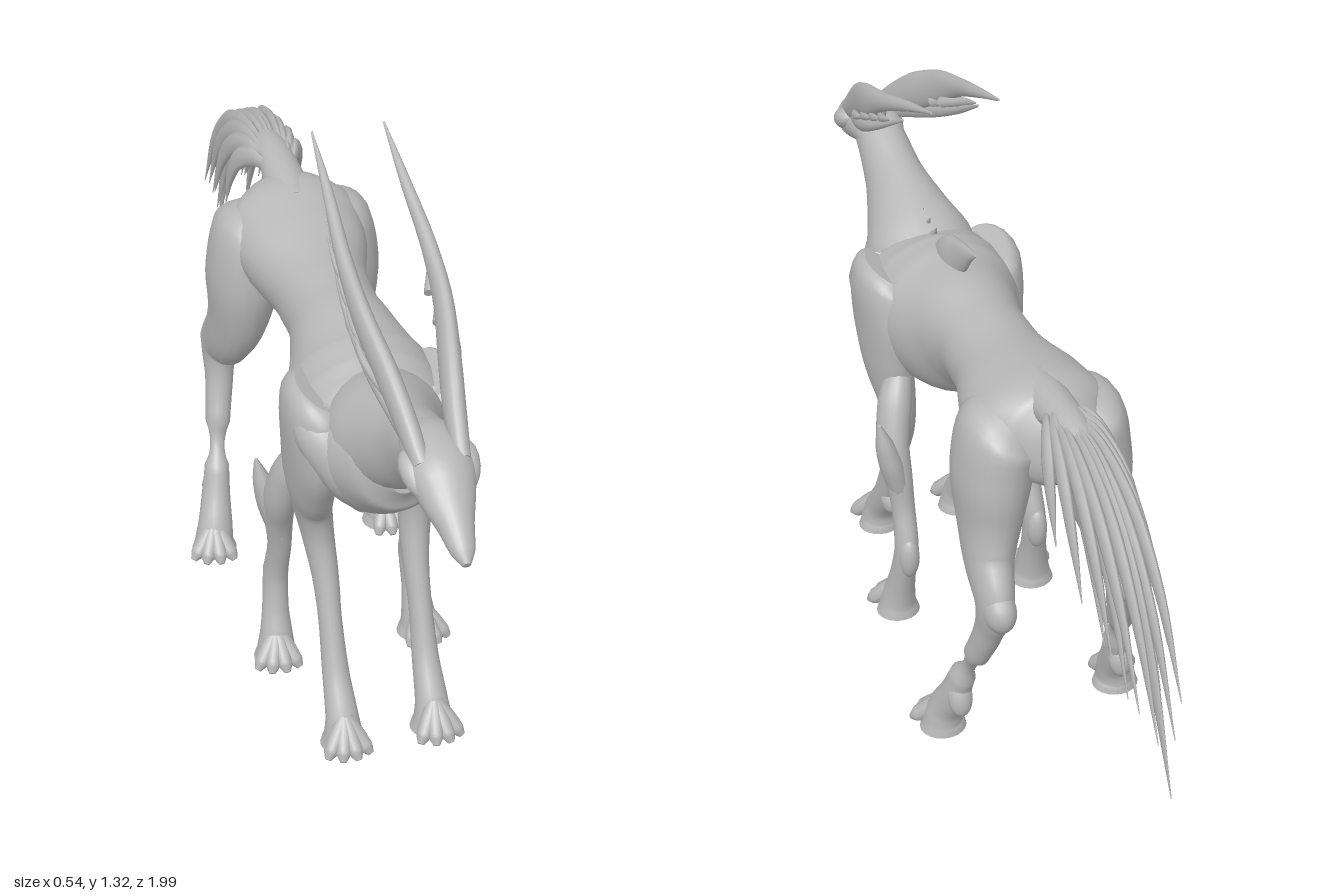
import * as THREE from 'three';

const hide = new THREE.MeshStandardMaterial({ color: 0xb8b8b8 });
hide.name = 'grey hide';

// Smooth tube through sections [x, y, z, halfWidth, halfDepth]; s = -1 mirrors it in x.
// egg > 0 makes each section wider on its upper side.
function loft(name, sections, s = 1, sides = 20, egg = 0) {
  const path = new THREE.CatmullRomCurve3(sections.map(p => new THREE.Vector3(p[0] * s, p[1], p[2])));
  const size = new THREE.CatmullRomCurve3(sections.map(p => new THREE.Vector3(p[3], p[4], 0)));
  const steps = (sections.length - 1) * 5;
  const pos = [], idx = [];
  for (let i = 0; i <= steps; i++) {
    const c = path.getPoint(i / steps), r = size.getPoint(i / steps);
    const t = path.getTangent(i / steps);
    const u = new THREE.Vector3(1, 0, 0).addScaledVector(t, -t.x).normalize();
    const v = t.clone().cross(u);
    for (let j = 0; j < sides; j++) {
      const a = j / sides * Math.PI * 2;
      const p = c.clone().addScaledVector(u, Math.max(r.x, 0.001) * Math.cos(a) * (1 + egg * Math.sin(a)))
        .addScaledVector(v, Math.max(r.y, 0.001) * Math.sin(a));
      pos.push(p.x, Math.max(p.y, 0), p.z);
    }
    if (i === 0) continue;
    for (let j = 0; j < sides; j++) {
      const a = (i - 1) * sides + j, b = (i - 1) * sides + (j + 1) % sides;
      idx.push(a, b, a + sides, b, b + sides, a + sides);
    }
  }
  // End caps with their own corners
  for (const end of [0, steps]) {
    const base = pos.length / 3, from = end * sides * 3;
    pos.push(...pos.slice(from, from + sides * 3));
    for (let j = 1; j < sides - 1; j++) {
      if (end) idx.push(base, base + j, base + j + 1);
      else idx.push(base, base + j + 1, base + j);
    }
  }
  const g = new THREE.BufferGeometry();
  g.setAttribute('position', new THREE.Float32BufferAttribute(pos, 3));
  g.setIndex(idx);
  g.computeVertexNormals();
  const m = new THREE.Mesh(g, hide);
  m.name = name;
  return m;
}

function lump(name, x, y, z, rx, ry, rz, tilt = 0, yaw = 0) {
  const m = new THREE.Mesh(new THREE.SphereGeometry(1, 16, 12), hide);
  m.name = name;
  m.position.set(x, y, z);
  m.scale.set(rx, ry, rz);
  m.rotation.set(tilt, yaw, 0, 'YXZ');
  return m;
}

// Four long toes fanning down from the ankle
function toes(group, x, z, s, yaw) {
  for (let k = 0; k < 4; k++) {
    const a = (k - 1.5) * 0.48 + yaw;
    const at = (d, y, w, h) => [x + Math.sin(a) * d, y, z + Math.cos(a) * d, w, h];
    group.add(loft('toe', [at(.005, .075, .014, .016), at(.035, .04, .018, .02),
      at(.058, .018, .016, .018), at(.072, .006, .007, .006)], s, 10));
  }
}

const frontLeg = [
  [.11, .825, .35, .055, .085], [.122, .80, .35, .068, .11], [.13, .70, .345, .058, .122],
  [.127, .60, .325, .052, .098], [.117, .51, .305, .042, .068], [.107, .43, .315, .034, .05],
  [.10, .34, .352, .028, .035], [.10, .25, .39, .025, .03], [.10, .14, .435, .029, .033],
  [.10, .06, .485, .036, .036], [.10, .025, .495, .042, .042], [.10, 0, .495, .05, .046]];
const middleLeg = [
  [.125, .60, .26, .03, .035], [.145, .54, .232, .038, .042], [.16, .46, .205, .036, .043],
  [.157, .38, .18, .031, .035], [.152, .30, .165, .026, .029], [.155, .20, .14, .027, .034],
  [.16, .12, .155, .029, .032], [.163, .06, .172, .036, .038], [.165, .025, .178, .042, .042], [.165, 0, .178, .05, .046]];
const hindLeg = [
  [.065, .865, -.29, .045, .06], [.095, .815, -.285, .083, .112], [.112, .72, -.285, .082, .115],
  [.122, .61, -.30, .066, .1], [.135, .53, -.335, .052, .08], [.145, .46, -.395, .04, .06],
  [.15, .38, -.38, .032, .038], [.165, .28, -.34, .028, .031], [.18, .19, -.295, .028, .031],
  [.19, .12, -.27, .033, .037], [.2, .06, -.24, .04, .04], [.205, .025, -.233, .044, .044], [.205, 0, -.233, .052, .048]];

export function createModel() {
  const model = new THREE.Group();
  model.name = 'sixLeggedCreature';

  // Torso, neck and head
  model.add(loft('torso', [
    [0, .83, -.40, .02, .05], [0, .82, -.36, .10, .105], [0, .81, -.28, .15, .12], [0, .80, -.18, .14, .115],
    [0, .79, -.05, .105, .108], [0, .785, .05, .10, .112], [0, .77, .14, .118, .135], [0, .735, .24, .155, .168],
    [0, .715, .33, .165, .174], [0, .722, .42, .155, .155], [0, .745, .49, .13, .127], [0, .765, .54, .10, .105],
    [0, .775, .58, .045, .06]], 1, 36, .1));
  model.add(loft('neck', [
    [0, .74, .36, .12, .12], [0, .778, .45, .125, .122], [0, .825, .545, .093, .108],
    [0, .872, .63, .066, .083], [0, .92, .71, .056, .062], [0, .945, .78, .05, .05]], 1, 28));
  model.add(loft('head', [
    [0, .925, .66, .04, .025], [0, .944, .74, .06, .05], [0, .93, .815, .068, .058], [0, .90, .87, .054, .046],
    [0, .873, .92, .036, .034], [0, .848, .965, .024, .022], [0, .835, .99, .008, .009]], 1, 24));

  // Withers fin and mane nubs
  model.add(loft('withersFin', [
    [0, .85, .31, .025, .04], [0, .89, .25, .026, .05], [0, .93, .19, .016, .036], [0, .96, .145, .01, .018],
    [0, .985, .10, .002, .003]]));
  for (let k = 0; k < 6; k++) {
    const nub = new THREE.Mesh(new THREE.ConeGeometry(.012, .05, 8), hide);
    nub.name = 'maneNub';
    nub.position.set(0, .887 + Math.max(0, k - 3) * .008, .36 + k * .042);
    nub.rotation.x = -.6;
    model.add(nub);
  }

  // Tail root and a fan of swept strands
  model.add(loft('tailRoot', [
    [0, .87, -.26, .05, .06], [0, .90, -.36, .045, .042], [0, .915, -.46, .035, .03], [0, .90, -.56, .022, .022]]));
  const strand = (x, y, z, w, s) => {
    const curve = new THREE.QuadraticBezierCurve3(
      new THREE.Vector3(x * .3, .905, -.38),
      new THREE.Vector3(x, .935 + .07 * (-z - .38) / .62, -.38 + .6 * (z + .38)),
      new THREE.Vector3(x, y, z));
    const widths = [.5, .9, 1, .75, .05];
    model.add(loft('tailStrand', widths.map((f, i) => {
      const p = curve.getPoint(i / 4);
      return [p.x, p.y, p.z, f * .012, f * w];
    }), s, 8));
  };
  strand(0, .38, -.997, .036, 1);
  strand(0, .54, -.88, .03, 1);
  strand(0, .66, -.70, .025, 1);
  const tips = [[.018, .50, -.965], [.045, .56, -.93], [.035, .53, -.85], [.06, .62, -.82],
    [.05, .60, -.76], [.075, .67, -.70], [.06, .70, -.63], [.08, .72, -.57], [.045, .81, -.53]];

  for (const s of [1, -1]) {
    for (const [x, y, z] of tips) strand(x, y, z, .025, s);

    // Long horn, slimmer lower horn and ragged barbs between them
    model.add(loft('horn', [
      [.04, .955, .82, .018, .022], [.05, 1.01, .74, .022, .036], [.064, 1.067, .66, .022, .042],
      [.083, 1.135, .55, .019, .038], [.087, 1.194, .44, .016, .022], [.08, 1.26, .30, .011, .012],
      [.075, 1.32, .16, .002, .003]], s));
    model.add(loft('lowerHorn', [
      [.05, .98, .74, .014, .02], [.08, 1.042, .61, .014, .018], [.094, 1.112, .48, .010, .011],
      [.085, 1.22, .31, .002, .003]], s, 10));
    for (let k = 0; k < 4; k++) {
      const y = 1.03 + k * .032, z = .68 - k * .06;
      model.add(loft('hornBarb', [
        [.068, y, z, .009, .012], [.094, y + .035, z - .07, .008, .01], [.098, y + .07, z - .14, .001, .002]], s, 8));
    }
    model.add(lump('brow', s * .05, .934, .815, .029, .026, .055, .55, -s * .25));

    // Sloping breast muscle from the shoulder corner to the keel
    model.add(loft('breast', [
      [.135, .80, .38, .05, .045], [.12, .76, .415, .06, .06], [.085, .69, .445, .055, .065],
      [.04, .60, .44, .03, .04]], s));

    // Three pairs of legs
    model.add(loft('frontLeg', frontLeg, s));
    model.add(lump('frontFetlock', s * .10, .14, .418, .024, .045, .026, .5));
    toes(model, .10, .50, s, .05);

    model.add(loft('middleLeg', middleLeg, s));
    model.add(loft('elbowSpike', [
      [.155, .34, .175, .022, .03], [.175, .42, .175, .027, .037], [.19, .48, .172, .021, .027],
      [.203, .54, .17, .004, .005]], s, 12));
    model.add(lump('middleFetlock', s * .155, .19, .124, .024, .055, .026));
    toes(model, .165, .18, s, .15);

    model.add(loft('hindLeg', hindLeg, s));
    model.add(lump('hock', s * .145, .455, -.42, .036, .05, .05, .7));
    model.add(lump('hindFetlock', s * .188, .13, -.295, .028, .05, .028, .3));
    toes(model, .205, -.232, s, .25);
  }
  return model;
}
